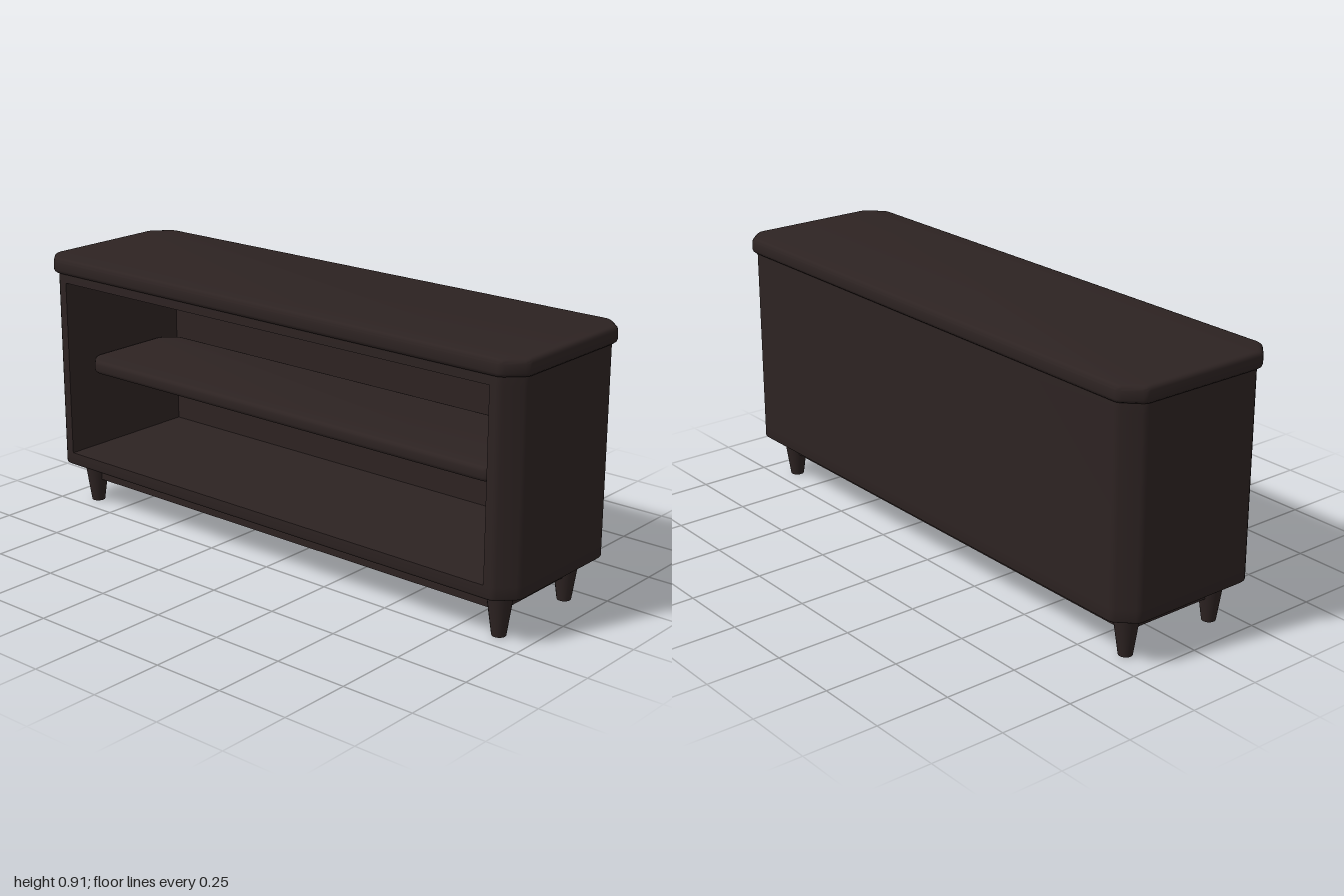
import * as THREE from 'three';
import { toCreasedNormals } from 'three/addons/utils/BufferGeometryUtils.js';

// Rectangle outline with cut corners, each corner point slightly eased
function footprint(hx, hz, c, r = 0.012) {
  const octagon = [
    [hx, hz - c], [hx - c, hz], [-hx + c, hz], [-hx, hz - c],
    [-hx, -hz + c], [-hx + c, -hz], [hx - c, -hz], [hx, -hz + c],
  ].map(([x, z]) => new THREE.Vector2(x, z));
  const points = [];
  octagon.forEach((p, i) => {
    const toward = (q) => q.clone().sub(p).setLength(r).add(p);
    const a = toward(octagon[(i + 7) % 8]);
    const b = toward(octagon[(i + 1) % 8]);
    const mid = a.clone().add(b).multiplyScalar(0.25).addScaledVector(p, 0.5);
    points.push(a, mid, b);
  });
  return points;
}

// Closed slab lofted through levels of [height, inset]
function slab(hx, hz, c, levels) {
  const rings = levels.map(([, inset]) => footprint(hx - inset, hz - inset, c));
  const n = rings[0].length;
  const positions = [];
  rings.forEach((ring, j) => ring.forEach((p) => positions.push(p.x, levels[j][0], p.y)));
  const index = [];
  for (let j = 0; j < rings.length - 1; j++) {
    for (let i = 0; i < n; i++) {
      const a = j * n + i, b = j * n + (i + 1) % n;
      index.push(a, a + n, b, b, a + n, b + n);
    }
  }
  const top = (rings.length - 1) * n;
  for (let i = 1; i < n - 1; i++) {
    index.push(0, i, i + 1);
    index.push(top, top + i + 1, top + i);
  }
  const g = new THREE.BufferGeometry();
  g.setAttribute('position', new THREE.Float32BufferAttribute(positions, 3));
  g.setIndex(index);
  return toCreasedNormals(g, 0.65);
}

// Levels for a slab with both rims rounded
function roundedLevels(y0, y1, r) {
  const steps = [0, 1, 2, 3].map((k) => k * Math.PI / 6);
  const lower = steps.map((t) => [y0 + r * (1 - Math.cos(t)), r * (1 - Math.sin(t))]);
  const upper = steps.map((t) => [y1 - r * (1 - Math.cos(t)), r * (1 - Math.sin(t))]).reverse();
  return [...lower, ...upper];
}

export function createModel() {
  const model = new THREE.Group();
  const wood = new THREE.MeshStandardMaterial({ color: 0x2d2322 });
  wood.name = 'dark brown wood';

  const add = (name, geometry, x = 0, y = 0, z = 0) => {
    const mesh = new THREE.Mesh(geometry, wood);
    mesh.name = name;
    mesh.position.set(x, y, z);
    model.add(mesh);
    return mesh;
  };

  const HX = 0.988, HZ = 0.281, CUT = 0.06;
  const FLOOR = 0.2, CEILING = 0.82;

  // Top board overhanging the cabinet
  add('topBoard', slab(1, 0.293, CUT, roundedLevels(0.85, 0.906, 0.014)));

  // Cabinet floor with eased lower rim, and the rail under the top board
  const rim = roundedLevels(0.155, 0.3, 0.008).slice(0, 4);
  add('cabinetFloor', slab(HX, HZ, CUT, [...rim, [FLOOR, 0]]));
  add('topRail', slab(HX, HZ, CUT, [[CEILING, 0], [0.855, 0]]));

  // Sides and back in one piece, open at the front
  const outline = footprint(HX, HZ, CUT);
  const loop = [...outline.slice(6), ...outline.slice(0, 6)].map((p) => new THREE.Vector2(p.x, -p.y));
  loop.push(
    new THREE.Vector2(0.895, -HZ), new THREE.Vector2(0.895, 0.25),
    new THREE.Vector2(-0.895, 0.25), new THREE.Vector2(-0.895, -HZ),
  );
  const walls = new THREE.ExtrudeGeometry(new THREE.Shape(loop), { depth: CEILING - FLOOR, bevelEnabled: false });
  walls.rotateX(-Math.PI / 2);
  add('sidesAndBack', toCreasedNormals(walls, 0.65), 0, FLOOR, 0);

  // Inner shelf, set back from the opening
  add('shelf', slab(0.893, 0.21, 0.05, roundedLevels(0.488, 0.536, 0.014)));

  // Apron frame joining the legs
  const LX = 0.885, LZ = 0.177;
  for (const s of [-1, 1]) {
    add(s > 0 ? 'frontApron' : 'backApron', new THREE.BoxGeometry(2 * LX, 0.075, 0.025), 0, 0.1225, s * LZ);
    add(s > 0 ? 'leftApron' : 'rightApron', new THREE.BoxGeometry(0.025, 0.075, 2 * LZ), s * LX, 0.1225, 0);
  }

  // Tapered legs
  const leg = new THREE.CylinderGeometry(0.046, 0.023, 0.16, 20);
  for (const sx of [-1, 1]) {
    for (const sz of [-1, 1]) {
      add((sz > 0 ? 'front' : 'back') + (sx > 0 ? 'Left' : 'Right') + 'Leg', leg, sx * LX, 0.08, sz * LZ);
    }
  }
  return model;
}
